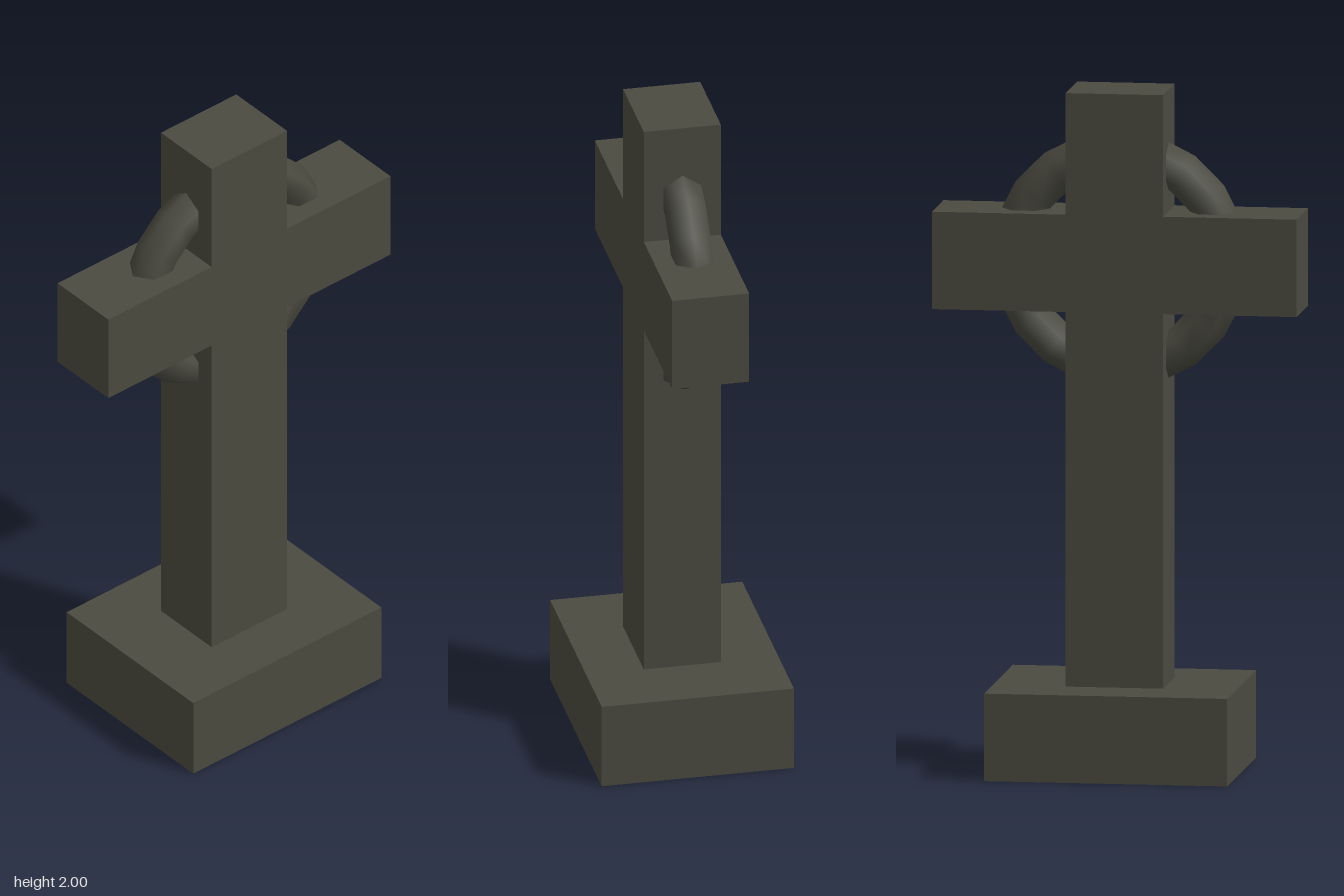
import * as THREE from 'three';

export function createModel() {
  const group = new THREE.Group();
  const stone = new THREE.MeshStandardMaterial({ color: 0x4a4a40 });
  stone.name = 'darkStone';

  const add = (name, geometry, y) => {
    const mesh = new THREE.Mesh(geometry, stone);
    mesh.name = name;
    mesh.position.y = y;
    group.add(mesh);
  };

  const baseHeight = 0.257;
  const armY = 1.5;

  // Plinth
  add('base', new THREE.BoxGeometry(0.714, baseHeight, 0.571), baseHeight / 2);

  // Upright shaft and crossbar share one depth
  add('shaft', new THREE.BoxGeometry(0.286, 2 - baseHeight, 0.229), (2 + baseHeight) / 2);
  add('crossbar', new THREE.BoxGeometry(1.071, 0.286, 0.229), armY);

  // Six-sided ring around the crossing, smooth shaded
  add('ring', new THREE.TorusGeometry(0.314, 0.064, 6, 20), armY);

  return group;
}
